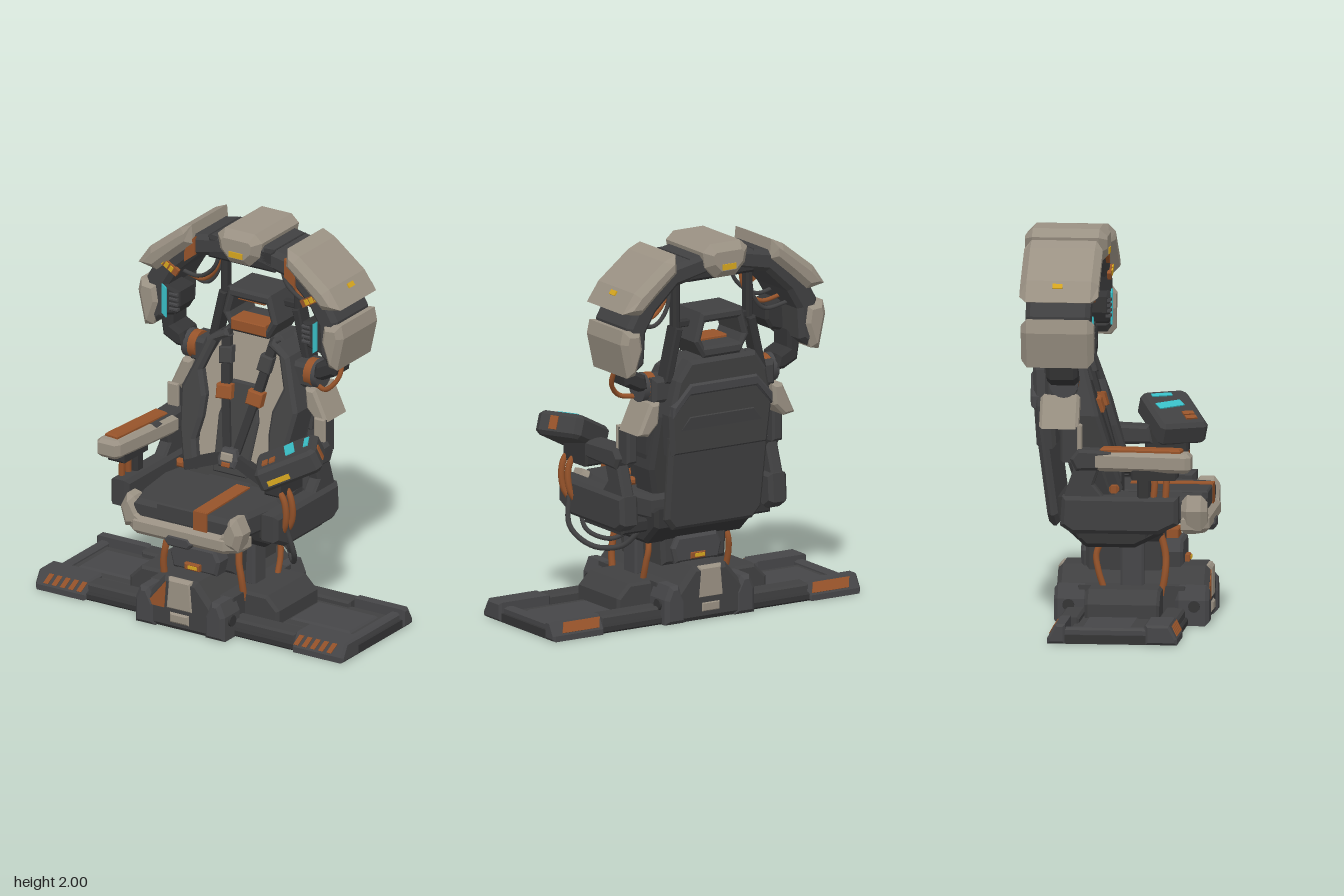
import * as THREE from 'three';

const mat = (name, color) => { const m = new THREE.MeshStandardMaterial({ color }); m.name = name; return m; };

export function createModel() {
  const root = new THREE.Group();
  root.name = 'commandChair';
  const dark = mat('darkPadding', 0x404041), black = mat('blackFrame', 0x343435), grey = mat('greyMetal', 0x464648);
  const beige = mat('beigeShell', 0x9a9183), orange = mat('orange', 0x96532a);
  const cyan = mat('cyanLight', 0x38bcc4), yellow = mat('yellowMark', 0xd6a61f);

  const put = (name, m, geo, parent = root) => {
    const mesh = new THREE.Mesh(geo, m);
    mesh.name = name;
    parent.add(mesh);
    return mesh;
  };
  const both = fn => [-1, 1].forEach(fn);
  const flip = (pts, s) => pts.map(([x, y]) => [s * x, y]);
  const sym = half => [...half, ...flip(half, -1).reverse()];
  const rect = (x0, y0, x1, y1) => [[x0, y0], [x1, y0], [x1, y1], [x0, y1]];

  // Chamfered prism from a to b. Outline: axis z = (x,y), axis x = (z,y), axis y = (x,z)
  const slab = (pts, a, b, bev = 0, axis = 'z', hole = null) => {
    const k = axis === 'x' ? [-1, 1] : axis === 'y' ? [1, -1] : [1, 1];
    const v = list => list.map(p => new THREE.Vector2(p[0] * k[0], p[1] * k[1]));
    const shape = new THREE.Shape(v(pts));
    if (hole) shape.holes.push(new THREE.Path(v(hole)));
    const g = new THREE.ExtrudeGeometry(shape, {
      depth: b - a - 2 * bev, bevelEnabled: bev > 0, bevelSize: bev, bevelThickness: bev, bevelOffset: -bev, bevelSegments: 1 });
    g.translate(0, 0, a + bev);
    if (axis === 'x') g.rotateY(Math.PI / 2);
    if (axis === 'y') g.rotateX(-Math.PI / 2);
    return g;
  };
  // Lean a front-facing prism back with height
  const lean = (g, slope = 0.3, y0 = 0.7) => {
    const p = g.attributes.position;
    for (let i = 0; i < p.count; i++) p.setZ(i, p.getZ(i) - slope * (p.getY(i) - y0));
    g.computeVertexNormals();
    return g;
  };
  const box = (x0, x1, y0, y1, z0, z1, bev = 0.012) => slab(rect(x0, y0, x1, y1), z0, z1, bev);
  const tube = (pts, r = 0.012) => new THREE.TubeGeometry(
    new THREE.CatmullRomCurve3(pts.map(p => new THREE.Vector3(...p))), 24, r, 8);
  const strip = (x0, y0, x1, y1, w) => {
    const l = Math.hypot(x1 - x0, y1 - y0), u = (y1 - y0) / l * w / 2, v = (x0 - x1) / l * w / 2;
    return [[x0 + u, y0 + v], [x1 + u, y1 + v], [x1 - u, y1 - v], [x0 - u, y0 - v]];
  };

  // Ground platform and rails
  put('floorPlate', black, box(-0.92, 0.92, 0, 0.045, -0.27, 0.37, 0.01));
  both(s => {
    put('deckPanel', dark, slab(flip(rect(0.3, -0.18, 0.88, 0.2), s), 0.03, 0.06, 0.01, 'y'));
    put('deckInset', grey, slab(flip(rect(0.46, -0.12, 0.82, 0.14), s), 0.05, 0.07, 0.01, 'y'));
    put('deckEdge', grey, slab(flip(rect(0.85, -0.2, 0.905, 0.22), s), 0.03, 0.08, 0.012, 'y'));
    put('stepHousing', dark, slab(flip([[0.2, 0.03], [0.45, 0.03], [0.45, 0.13], [0.38, 0.2], [0.2, 0.2]], s), -0.14, 0.24, 0.015));
  });
  both(f => {
    const rail = new THREE.Group();
    rail.name = f > 0 ? 'frontRail' : 'backRail';
    rail.position.z = 0.05;
    rail.rotation.y = f > 0 ? 0 : Math.PI;
    root.add(rail);
    const back = f > 0 ? 0.17 : 0.24;
    put('railBeam', dark, box(-0.63, 0.63, 0.01, 0.09, 0.2, 0.305), rail);
    both(s => {
      put('railEnd', grey, slab([[0.33, 0], [0.33, 0.03], [0.29, 0.1], [back, 0.1], [back, 0]],
        s > 0 ? 0.62 : -0.93, s > 0 ? 0.93 : -0.62, 0.012, 'x'), rail);
      // hazard stripes in front, one painted band behind
      const marks = f > 0 ? [0, 1, 2, 3, 4].map(i => s * 0.755 - 0.125 + i * 0.05) : [s * 0.755 - 0.12];
      for (const x of marks) {
        const w = f > 0 ? 0.028 : 0.22;
        const mesh = put('railMark', orange, slab([[x, -0.028], [x + w, -0.028], [x + w + 0.022, 0.028], [x + 0.022, 0.028]], 0, 0.004), rail);
        mesh.position.set(0, 0.064, 0.311);
        mesh.rotation.x = -0.52;
      }
    });
  });

  // Central foot, the same in front and behind
  put('foot', dark, slab(sym([[0.23, 0], [0.23, 0.13], [0.1, 0.285]]), -0.31, 0.465, 0.025));
  put('footSide', dark, box(-0.25, 0.25, 0, 0.2, -0.2, 0.36));
  both(f => {
    const face = new THREE.Group();
    face.name = f > 0 ? 'footFront' : 'footBack';
    face.position.z = 0.08;
    face.rotation.y = f > 0 ? 0 : Math.PI;
    root.add(face);
    put('footPlate', beige, slab(sym([[0.085, 0.11], [0.07, 0.283]]), 0.34, 0.392, 0.015), face);
    put('footTriangle', orange, slab([[-0.2, 0.115], [-0.09, 0.115], [-0.08, 0.262]], 0.38, 0.389), face);
    put('footLowerPlate', beige, box(-0.06, 0.06, 0.04, 0.1, 0.36, 0.395), face);
    put('footBadge', orange, box(-0.045, 0.045, 0.295, 0.33, 0.2, 0.275, 0.005), face);
    put('warningMark', yellow, box(-0.02, 0.035, 0.305, 0.322, 0.274, 0.28, 0), face);
    both(s => {
      put('footLug', grey, slab(flip([[0.15, 0], [0.27, 0], [0.27, 0.13], [0.24, 0.2], [0.19, 0.2], [0.15, 0.12]], s), 0.22, 0.395, 0.02), face);
      put('footBolt', black, new THREE.CylinderGeometry(0.03, 0.03, 0.02, 12).rotateZ(Math.PI / 2).translate(s * 0.272, 0.1, 0.32), face);
    });
  });

  // Column
  put('column', dark, slab(sym([[0.19, 0.27], [0.2, 0.42], [0.26, 0.46], [0.26, 0.5]]), -0.16, 0.24, 0.02));
  put('columnCore', grey, slab(sym([[0.13, 0.28], [0.15, 0.36], [0.12, 0.42]]), -0.19, 0.33, 0.015));
  put('columnBand', orange, box(-0.08, 0.08, 0.415, 0.465, 0.2, 0.3, 0.005));
  both(s => {
    put('frontPillar', grey, box(s * 0.21 - 0.03, s * 0.21 + 0.03, 0.19, 0.48, 0.02, 0.14));
    put('baseCable', orange, tube([[s * 0.24, 0.15, 0.23], [s * 0.235, 0.27, 0.25], [s * 0.22, 0.36, 0.25], [s * 0.21, 0.48, 0.22]], 0.018));
    put('rearCable', orange, tube([[s * 0.25, 0.18, -0.06], [s * 0.25, 0.28, -0.09], [s * 0.24, 0.36, -0.1], [s * 0.22, 0.47, -0.05]], 0.016));
  });

  // Seat
  put('seatPan', black, slab([[0.3, 0.53], [0.24, 0.47], [0.1, 0.4], [-0.15, 0.4], [-0.26, 0.5], [-0.26, 0.6], [0.3, 0.6]], -0.3, 0.3, 0.02, 'x'));
  put('seatCushion', dark, slab(sym([[0.28, 0.455], [0.33, 0.32], [0.36, 0.08], [0.3, -0.22]]), 0.53, 0.665, 0.025, 'y'));
  put('seatCentrePad', dark, slab(sym([[0.14, 0.458], [0.13, -0.1]]), 0.58, 0.674, 0.008, 'y'));
  put('seatStripe', orange, slab([[0.07, 0.04], [0.15, 0.04], [0.162, 0.452], [0.08, 0.452]], 0.67, 0.679, 0, 'y'));
  put('seatStripeFront', orange, box(0.08, 0.162, 0.575, 0.678, 0.452, 0.461, 0));
  put('seatBumper', beige, slab(sym([[0.27, 0.48], [0.34, 0.42], [0.355, 0.34], [0.28, 0.34]]), 0.48, 0.58, 0.025, 'y'));
  put('bumperLatch', grey, slab(sym([[0.06, 0.465], [0.085, 0.495], [0.06, 0.525]]), 0.4, 0.487, 0.01));
  both(s => {
    put('bumperCorner', beige, slab(flip([[0.18, 0.54], [0.34, 0.5], [0.37, 0.6], [0.33, 0.68], [0.29, 0.67], [0.25, 0.6]], s), 0.34, 0.472, 0.03));
    put('hipPad', orange, box(s * 0.29 - 0.025, s * 0.29 + 0.025, 0.68, 0.72, -0.03, 0.02));
  });

  // Backrest cushions, leaning back
  put('backCushion', dark, lean(slab(sym([[0.25, 0.62], [0.31, 0.8], [0.32, 1.1], [0.27, 1.3], [0.15, 1.41]]), -0.2, -0.02, 0.02)));
  put('backInlay', beige, lean(slab(sym([[0.21, 0.74], [0.22, 0.95], [0.26, 1.17], [0.15, 1.39]]), -0.03, -0.012)));
  put('spinePad', dark, lean(slab(sym([[0.1, 0.7], [0.12, 0.98], [0.07, 1.16]]), -0.04, 0.005, 0.008)));
  both(s => {
    put('sideBolster', dark, lean(slab(flip([[0.26, 0.68], [0.32, 0.88], [0.35, 1.08], [0.31, 1.18], [0.25, 1.34], [0.14, 1.41],
      [0.11, 1.37], [0.19, 1.33], [0.245, 1.18], [0.2, 1.06], [0.2, 0.95], [0.22, 0.84], [0.18, 0.7]], s), -0.16, 0.035, 0.018)));
    put('shoulderStrap', black, lean(slab(flip(strip(0.145, 1.4, 0.09, 1.1, 0.05), s), -0.01, 0.02)));
    put('chestStrap', black, lean(slab(flip(strip(0.095, 1.12, 0.02, 0.78, 0.045), s), -0.01, 0.02)));
    put('strapPad', dark, lean(slab(flip(strip(0.125, 1.32, 0.112, 1.24, 0.075), s), -0.01, 0.035, 0.006)));
    put('strapBuckle', orange, lean(slab(flip(strip(0.095, 1.14, 0.088, 1.07, 0.09), s), -0.01, 0.04, 0.006)));
    put('lapStrap', black, lean(slab(flip(strip(0.25, 0.71, 0.03, 0.79, 0.05), s), -0.01, 0.04)));
  });
  put('harnessHub', grey, lean(slab(sym([[0.05, 0.75], [0.06, 0.79], [0.04, 0.84]]), 0, 0.055, 0.01)));
  put('harnessButton', beige, lean(box(-0.035, 0.035, 0.785, 0.825, 0.05, 0.065, 0.005)));
  put('harnessRelease', orange, lean(box(-0.025, 0.025, 0.755, 0.778, 0.05, 0.062, 0.004)));

  // Rear shell: sloped lower shield, shoulder shell and cushion link
  put('lowerShield', dark, lean(slab(sym([[0.24, 0.5], [0.29, 0.56], [0.3, 1.0], [0.2, 1.12]]), -0.345, -0.29, 0.02), 0.13, 0.55));
  put('shoulderShell', dark, lean(slab(sym([[0.29, 0.9], [0.31, 1.12], [0.27, 1.3], [0.2, 1.4]]), -0.4, -0.3, 0.02), 0.06, 0.9));
  put('shoulderRidge', grey, lean(slab([[-0.3, 1.17], [-0.2, 1.28], [0.2, 1.28], [0.3, 1.17], [0.3, 1.11], [0.2, 1.22], [-0.2, 1.22], [-0.3, 1.11]], -0.415, -0.36, 0.01), 0.06, 0.9));
  put('shellLink', black, box(-0.2, 0.2, 0.52, 0.64, -0.33, -0.2));

  // Headrest hood with an open window
  put('headrestHood', dark, slab(sym([[0.11, 1.4], [0.165, 1.49], [0.125, 1.64]]), -0.42, -0.18, 0.015, 'z',
    sym([[0.105, 1.46], [0.125, 1.5], [0.1, 1.585]])));
  put('headrestPad', orange, box(-0.105, 0.105, 1.415, 1.475, -0.3, -0.172, 0.005));
  put('headrestLamp', orange, box(-0.08, 0.08, 1.573, 1.59, -0.3, -0.2, 0.004));

  // Overhead arch
  put('archCentre', beige, slab(sym([[0.06, 1.82], [0.12, 1.88], [0.135, 1.96], [0.09, 2.0]]), -0.48, -0.06, 0.04));
  put('archCentreMark', yellow, box(-0.04, 0.04, 1.865, 1.895, -0.061, -0.055, 0));
  put('archCentreRearMark', yellow, box(-0.04, 0.04, 1.865, 1.895, -0.485, -0.479, 0));
  put('archCore', black, slab(sym([[0.2, 1.81], [0.2, 1.93]]), -0.42, -0.1, 0.015));
  both(s => {
    const p = pts => flip(pts, s);
    put('archRing', dark, slab(p([[0.08, 1.95], [0.3, 1.91], [0.49, 1.77], [0.575, 1.62], [0.56, 1.45], [0.52, 1.38],
      [0.47, 1.42], [0.46, 1.58], [0.4, 1.68], [0.27, 1.8], [0.08, 1.84]]), -0.43, -0.1, 0.025));
    put('archUpperShell', beige, slab(p([[0.29, 1.97], [0.36, 1.94], [0.54, 1.8], [0.61, 1.7], [0.5, 1.68], [0.4, 1.77], [0.28, 1.87]]), -0.46, -0.06, 0.035));
    put('archLowerShell', beige, slab(p([[0.5, 1.6], [0.605, 1.61], [0.62, 1.54], [0.58, 1.36], [0.53, 1.37], [0.485, 1.5]]), -0.45, -0.08, 0.03));
    put('archOrangePanel', orange, slab(p([[0.27, 1.91], [0.31, 1.87], [0.335, 1.81], [0.335, 1.76], [0.27, 1.81]]), -0.11, -0.092));
    put('archHazardBase', orange, slab(p(strip(0.375, 1.685, 0.485, 1.75, 0.04)), -0.11, -0.09));
    for (let i = 0; i < 3; i++) put('archHazardMark', yellow, slab(p(strip(0.4 + i * 0.027, 1.7 + i * 0.016, 0.419 + i * 0.027, 1.711 + i * 0.016, 0.03)), -0.091, -0.084));
    put('shellSideMark', yellow, slab(p(strip(0.554, 1.786, 0.569, 1.765, 0.008)), -0.29, -0.24));
    put('archLink', black, slab(p([[0.46, 1.45], [0.46, 1.36], [0.4, 1.33], [0.38, 1.25], [0.44, 1.25], [0.52, 1.29], [0.54, 1.42]]), -0.33, -0.17, 0.02));
    put('sideScreen', black, slab(p([[0.37, 1.5], [0.4, 1.45], [0.48, 1.43], [0.48, 1.61], [0.37, 1.58]]), -0.26, -0.1, 0.015));
    for (let i = 0; i < 4; i++) put('screenRib', grey, box(s * 0.4 - 0.025, s * 0.4 + 0.025, 1.475 + i * 0.027, 1.49 + i * 0.027, -0.12, -0.09, 0.003));
    put('sideLight', cyan, slab(p([[0.443, 1.43], [0.468, 1.45], [0.468, 1.61], [0.443, 1.59]]), -0.1, -0.091));
    // Support posts and shoulder joints
    put('supportPost', black, box(s * 0.22 - 0.02, s * 0.22 + 0.02, 1.5, 1.88, -0.34, -0.28));
    put('supportBrace', black, slab(p(strip(0.22, 1.56, 0.285, 1.28, 0.045)), -0.36, -0.27, 0.008));
    put('supportBar', black, box(s * 0.18 - 0.05, s * 0.18 + 0.05, 1.555, 1.59, -0.33, -0.29, 0.005));
    put('shoulderJoint', dark, box(s * 0.31 - 0.06, s * 0.31 + 0.06, 1.18, 1.31, -0.35, -0.19, 0.02));
    put('shoulderRing', orange, new THREE.CylinderGeometry(0.073, 0.073, 0.045, 16).rotateZ(Math.PI / 2).translate(s * 0.35, 1.255, -0.25));
    put('shoulderCap', grey, new THREE.CylinderGeometry(0.075, 0.075, 0.035, 16).rotateZ(Math.PI / 2).translate(s * 0.39, 1.255, -0.25));
    for (let i = 0; i < 3; i++) put('archCable', i === 1 ? orange : dark, tube([[s * (0.18 + i * 0.03), 1.84, -0.2 - i * 0.05],
      [s * (0.22 + i * 0.02), 1.72 - i * 0.03, -0.2 - i * 0.05], [s * 0.33, 1.64 - i * 0.03, -0.22 - i * 0.04], [s * 0.46, 1.66 - i * 0.03, -0.22 - i * 0.05]], 0.011));

    // Arm carriers
    put('armUpright', beige, slab(p([[0.34, 1.19], [0.4, 1.19], [0.475, 1.03], [0.41, 1.02], [0.35, 1.08]]), -0.37, -0.17, 0.015));
    put('armLowerUpright', dark, slab(p(rect(0.41, 0.86, 0.47, 1.04)), -0.26, -0.16, 0.012));
    put('armUprightPlate', beige, slab(p(rect(0.41, 0.9, 0.475, 1.05)), -0.175, -0.152, 0.006));
    put('armBeam', dark, slab([[0.12, 0.83], [0.1, 0.92], [-0.17, 0.93], [-0.21, 0.88], [-0.18, 0.82]], s * 0.44 - 0.06, s * 0.44 + 0.06, 0.015, 'x'));
    put('armPost', dark, slab([[-0.06, 0.84], [-0.19, 0.84], [-0.25, 0.66], [-0.02, 0.66], [-0.09, 0.75]], s * 0.45 - 0.035, s * 0.45 + 0.035, 0.012, 'x'));
    put('armHousing', dark, slab([[0.34, 0.69], [0.34, 0.55], [0.24, 0.5], [-0.2, 0.5], [-0.26, 0.54], [-0.25, 0.69]], s * 0.45 - 0.055, s * 0.45 + 0.055, 0.02, 'x'));
    put('armBracket', black, box(s * 0.36 - 0.09, s * 0.36 + 0.09, 0.47, 0.54, -0.18, 0.18));
    const out = s > 0 ? 0.51 : 0.465;
    for (let i = 0; i < 2; i++) put('armCable', orange, tube([[s * 0.45, 0.84, 0.21 + i * 0.07], [s * out, 0.77, 0.22 + i * 0.06],
      [s * (out + 0.005), 0.64, 0.21 + i * 0.06], [s * 0.45, 0.53, 0.2 + i * 0.04]], 0.017));
  });
  put('armHangingCable', dark, tube([[0.5, 0.6, 0.24], [0.52, 0.45, 0.2], [0.45, 0.36, 0.1], [0.35, 0.37, -0.02], [0.29, 0.46, -0.1]], 0.014));
  put('armHangingCableInner', dark, tube([[0.46, 0.55, 0.2], [0.46, 0.44, 0.14], [0.38, 0.4, 0.04], [0.28, 0.44, 0]], 0.012));
  put('shoulderCable', orange, tube([[0.39, 1.2, -0.22], [0.47, 1.21, -0.18], [0.53, 1.28, -0.2], [0.53, 1.39, -0.25]], 0.013));

  // Right armrest pad
  put('armrest', beige, slab([[-0.55, 0.38], [-0.53, 0.41], [-0.43, 0.41], [-0.41, 0.38], [-0.36, -0.08], [-0.5, -0.08]], 0.82, 0.92, 0.02, 'y'));
  put('armrestPad', orange, slab([[-0.52, 0.355], [-0.44, 0.365], [-0.405, -0.05], [-0.485, -0.06]], 0.9, 0.94, 0.01, 'y'));
  put('armrestUnderside', black, box(-0.52, -0.42, 0.78, 0.83, 0.1, 0.34));
  put('armrestStrut', black, box(-0.49, -0.43, 0.66, 0.8, 0.13, 0.2));

  // Left control console, turned and tilted
  const con = new THREE.Group();
  con.name = 'console';
  con.position.set(0.5, 0.95, 0.21);
  con.rotation.set(0, 0.5, 0.42, 'YXZ');
  root.add(con);
  put('consoleBody', dark, slab([[-0.17, -0.11], [-0.15, -0.13], [0.14, -0.13], [0.17, -0.1], [0.17, 0.1], [0.14, 0.13], [-0.15, 0.13], [-0.17, 0.11]], -0.065, 0.06, 0.02, 'y'), con);
  put('consoleScreen', cyan, slab([[-0.01, -0.08], [0.04, -0.09], [0.06, 0.05], [0.01, 0.06]], 0.06, 0.066, 0, 'y'), con);
  put('consoleStrip', cyan, slab(rect(0.105, -0.08, 0.13, 0.03), 0.06, 0.066, 0, 'y'), con);
  for (let i = 0; i < 2; i++) put('consoleButton', orange, slab(rect(-0.12 + i * 0.04, 0.02, -0.09 + i * 0.04, 0.08), 0.06, 0.068, 0, 'y'), con);
  put('consoleMark', yellow, box(-0.12, 0.0, -0.035, -0.008, 0.13, 0.136, 0), con);
  put('consoleSideMark', orange, slab(rect(0.0, -0.035, 0.045, 0.035), 0.17, 0.176, 0, 'x'), con);
  put('consoleMount', black, box(0.4, 0.5, 0.78, 0.9, 0.08, 0.3));
  return root;
}
